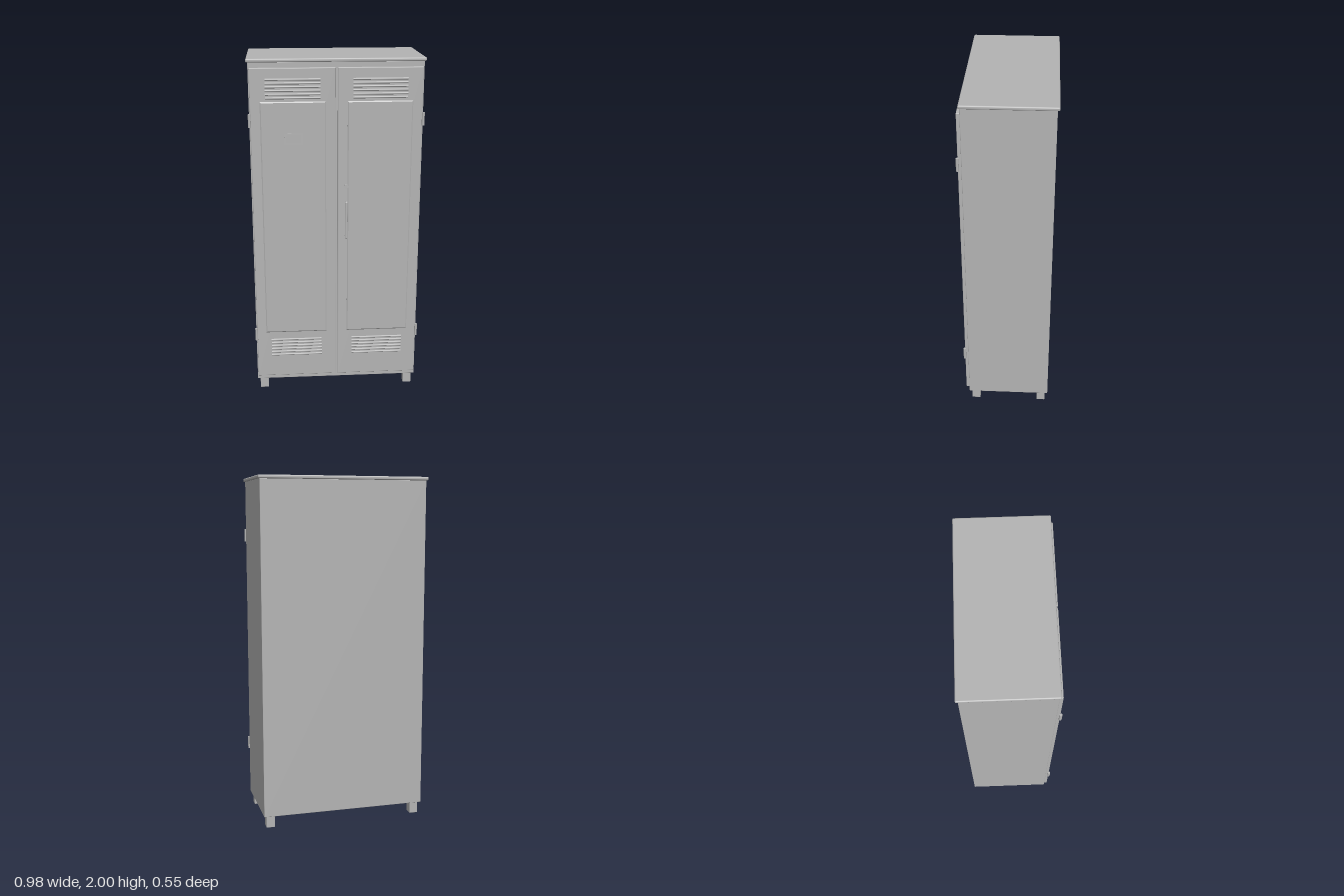
import * as THREE from 'three';
import { RoundedBoxGeometry } from 'three/addons/geometries/RoundedBoxGeometry.js';

export function createModel() {
  const root = new THREE.Group();
  root.name = 'cabinet';
  const steel = new THREE.MeshStandardMaterial({ color: 0xb4b4b4 });
  steel.name = 'grey steel';

  const add = (name, geometry, x, y, z, parent = root) => {
    const mesh = new THREE.Mesh(geometry, steel);
    mesh.name = name;
    mesh.position.set(x, y, z);
    parent.add(mesh);
    return mesh;
  };
  // Box given by its minimum and maximum corners, optionally rounded
  const block = (name, a, b, radius = 0, parent = root) => {
    const [w, h, d] = a.map((v, i) => b[i] - v);
    const geometry = radius
      ? new RoundedBoxGeometry(w, h, d, 2, radius)
      : new THREE.BoxGeometry(w, h, d);
    return add(name, geometry, (a[0] + b[0]) / 2, (a[1] + b[1]) / 2, (a[2] + b[2]) / 2, parent);
  };

  // Carcass and overhanging top
  block('body', [-0.48, 0.07, -0.265], [0.48, 1.982, 0.215], 0.003);
  block('top', [-0.49, 1.98, -0.277], [0.49, 2, 0.223], 0.007);

  // Feet
  for (const x of [-0.44, 0.44])
    for (const z of [-0.225, 0.175])
      block('foot', [x - 0.025, 0, z - 0.025], [x + 0.025, 0.072, z + 0.025], 0.003);

  // Raised panel with sloping edges
  const panelShape = new THREE.Shape([
    new THREE.Vector2(-0.174, -0.684), new THREE.Vector2(0.174, -0.684),
    new THREE.Vector2(0.174, 0.684), new THREE.Vector2(-0.174, 0.684),
  ]);
  const panelGeometry = new THREE.ExtrudeGeometry(panelShape, {
    depth: 0.001, bevelThickness: 0.004, bevelSize: 0.006, bevelSegments: 1,
  });

  // Louvre: a shallow half-round ridge lying along x
  const louvre = new THREE.CylinderGeometry(0.006, 0.006, 0.3, 8, 1, false, 0, Math.PI);
  louvre.rotateY(-Math.PI / 2).rotateZ(Math.PI / 2);

  for (const side of [-1, 1]) {
    const door = new THREE.Group();
    door.name = side > 0 ? 'leftDoor' : 'rightDoor';
    root.add(door);
    const cx = side * 0.24;
    block('doorLeaf', [cx - 0.234, 0.1, 0.213], [cx + 0.234, 1.952, 0.234], 0.004, door);
    add('raisedPanel', panelGeometry, cx, 1.08, 0.2335, door);

    // Ventilation louvres above and below the panel
    for (const y0 of [0.24, 1.79])
      for (let i = 0; i < 6; i++) add('louvre', louvre, cx, y0 + i * 0.02, 0.233, door);

    // Hinge barrels
    for (const y of [0.38, 1.667])
      add('hinge', new THREE.CylinderGeometry(0.008, 0.008, 0.074, 16), side * 0.478, y, 0.235, door);
  }

  // Label holder frame on the right door
  const frame = new THREE.Shape([
    new THREE.Vector2(-0.05, -0.03), new THREE.Vector2(0.05, -0.03),
    new THREE.Vector2(0.05, 0.03), new THREE.Vector2(-0.05, 0.03),
  ]);
  frame.holes.push(new THREE.Path([
    new THREE.Vector2(-0.042, -0.022), new THREE.Vector2(-0.042, 0.022),
    new THREE.Vector2(0.042, 0.022), new THREE.Vector2(0.042, -0.022),
  ]));
  add('labelHolder', new THREE.ExtrudeGeometry(frame, { depth: 0.002, bevelEnabled: false }),
    -0.24, 1.565, 0.238);

  // Pull handle on two posts, and the lock above it
  const handle = new THREE.Group();
  handle.name = 'handle';
  root.add(handle);
  block('grip', [0.044, 0.985, 0.261], [0.06, 1.207, 0.275], 0.005, handle);
  for (const y of [0.993, 1.199]) {
    const post = new THREE.CylinderGeometry(0.006, 0.006, 0.034, 12).rotateX(Math.PI / 2);
    add('handlePost', post, 0.052, y, 0.25, handle);
  }
  const lock = new THREE.CylinderGeometry(0.012, 0.012, 0.022, 20).rotateX(Math.PI / 2);
  add('lock', lock, 0.052, 1.29, 0.241);
  block('keySlot', [0.0505, 1.284, 0.2515], [0.0535, 1.296, 0.253]);

  return root;
}
